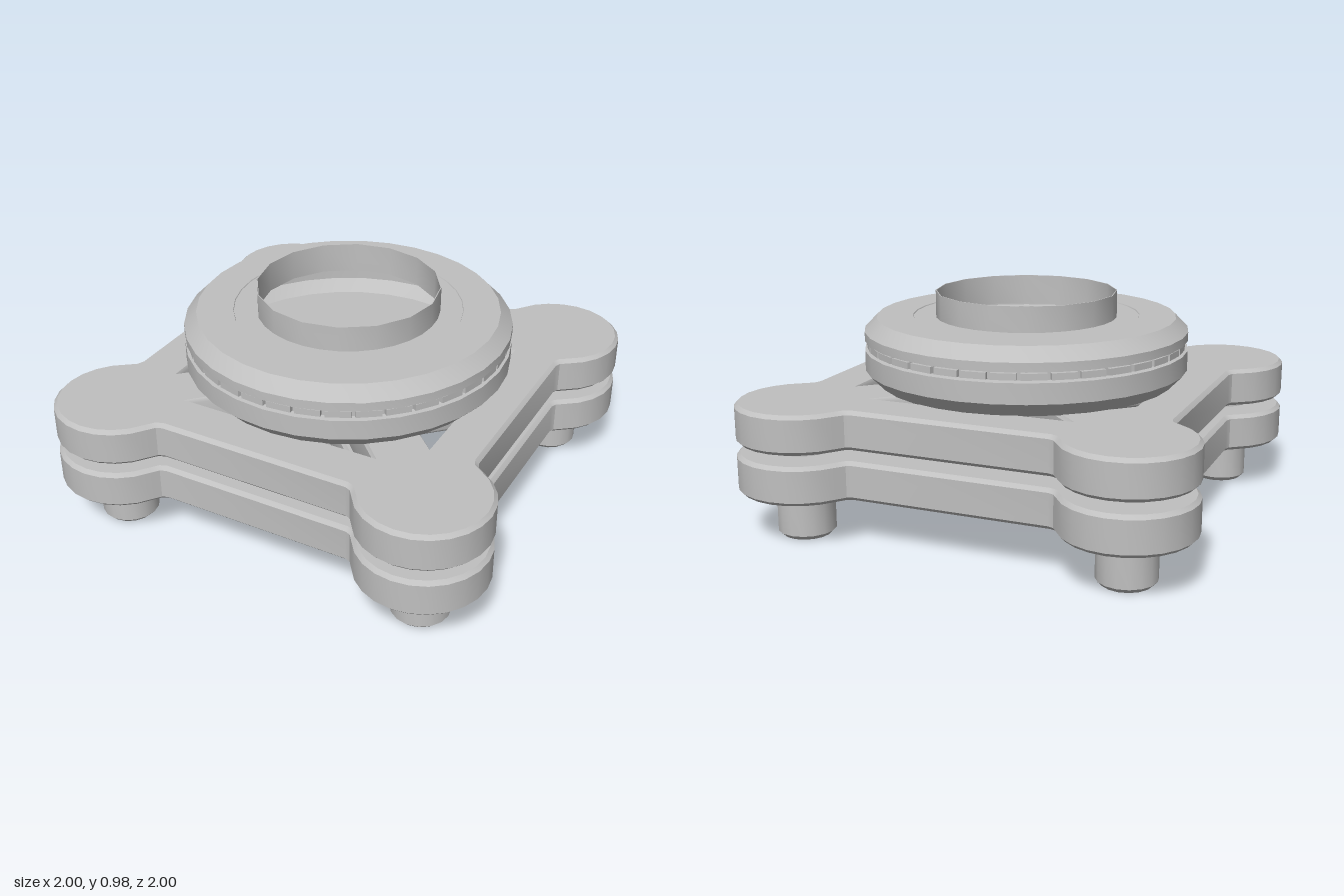
import * as THREE from 'three';
import { toCreasedNormals } from 'three/addons/utils/BufferGeometryUtils.js';

// Double-sided because the ring is a hollow, open shell
const grey = new THREE.MeshStandardMaterial({ color: 0xc0c0c0, side: THREE.DoubleSide });
grey.name = 'plain grey';

function part(name, geometry, parent) {
  const mesh = new THREE.Mesh(geometry, grey);
  mesh.name = name;
  parent.add(mesh);
  return mesh;
}

// Turned part from [radius, height] pairs, listed counter-clockwise in section
function turned(profile, sides, crease = 0.5) {
  const points = profile.map(([r, y]) => new THREE.Vector2(r, y));
  return toCreasedNormals(new THREE.LatheGeometry(points, sides), crease);
}

// Square frame with round corner lobes and four triangular openings
function plateGeometry(bottom, top) {
  const quarter = [new THREE.Vector2(0.82, 0.43), new THREE.Vector2(0.83, 0.455)];
  const steps = 14;
  for (let i = 0; i <= steps; i++) {
    const a = THREE.MathUtils.degToRad(-60 + (210 * i) / steps);
    quarter.push(new THREE.Vector2(0.72 + 0.28 * Math.cos(a), 0.72 + 0.28 * Math.sin(a)));
  }
  quarter.push(new THREE.Vector2(0.455, 0.83), new THREE.Vector2(0.43, 0.82));

  const outline = [];
  const holes = [];
  const centre = new THREE.Vector2();
  for (let k = 0; k < 4; k++) {
    const turn = (p) => p.clone().rotateAround(centre, (k * Math.PI) / 2);
    outline.push(...quarter.map(turn));
    const triangle = [[0, 0.17], [0.438, 0.608], [-0.438, 0.608]].map(([x, y]) => turn(new THREE.Vector2(x, y)));
    holes.push(new THREE.Path(triangle.reverse()));
  }
  const shape = new THREE.Shape(outline);
  shape.holes = holes;

  const bevel = 0.016;
  const geometry = new THREE.ExtrudeGeometry(shape, {
    depth: top - bottom - 2 * bevel,
    bevelThickness: bevel, bevelSize: bevel, bevelOffset: -bevel, bevelSegments: 1,
  });
  geometry.rotateX(-Math.PI / 2);
  geometry.translate(0, bottom + bevel, 0);
  return toCreasedNormals(geometry, 0.5);
}

export function createModel() {
  const model = new THREE.Group();
  model.name = 'turntableBase';

  // Two stacked frames
  part('lowerFrame', plateGeometry(0.207, 0.375), model);
  part('upperFrame', plateGeometry(0.422, 0.59), model);

  // Feet and spacers at the four corners
  const foot = turned([[0, 0], [0.105, 0], [0.125, 0.02], [0.125, 0.185], [0.145, 0.21]], 16);
  const spacer = turned([[0.127, 0.37], [0.127, 0.402], [0.145, 0.425]], 16);
  for (const x of [-0.72, 0.72]) {
    for (const z of [-0.72, 0.72]) {
      part('foot', foot, model).position.set(x, 0, z);
      part('spacer', spacer, model).position.set(x, 0, z);
    }
  }

  // Hollow grooved ring
  const ring = new THREE.Group();
  ring.name = 'ring';
  model.add(ring);
  part('ringShell', turned([
    [0.6, 0.588], [0.655, 0.588], [0.715, 0.65], [0.715, 0.738], [0.685, 0.742],
    [0.685, 0.778], [0.715, 0.782], [0.715, 0.82], [0.66, 0.876], [0.5, 0.876],
    [0.498, 0.872], [0.4, 0.872],
  ], 32), ring);

  // Row of small blocks set in the groove
  const block = new THREE.BoxGeometry(0.106, 0.028, 0.024);
  const count = 36;
  for (let i = 0; i < count; i++) {
    const a = ((i + 0.5) / count) * Math.PI * 2;
    const mesh = part('grooveBlock', block, ring);
    mesh.position.set(Math.sin(a) * 0.69, 0.76, Math.cos(a) * 0.69);
    mesh.rotation.y = a;
  }

  // Floor inside the ring
  const floor = new THREE.CircleGeometry(0.66, 32);
  floor.rotateX(-Math.PI / 2);
  part('ringFloor', floor, ring).position.y = 0.6;

  // Thin open collar
  part('collar', turned([
    [0.396, 0.85], [0.4, 0.85], [0.4, 0.982], [0.396, 0.982], [0.396, 0.85],
  ], 16), model);

  return model;
}
